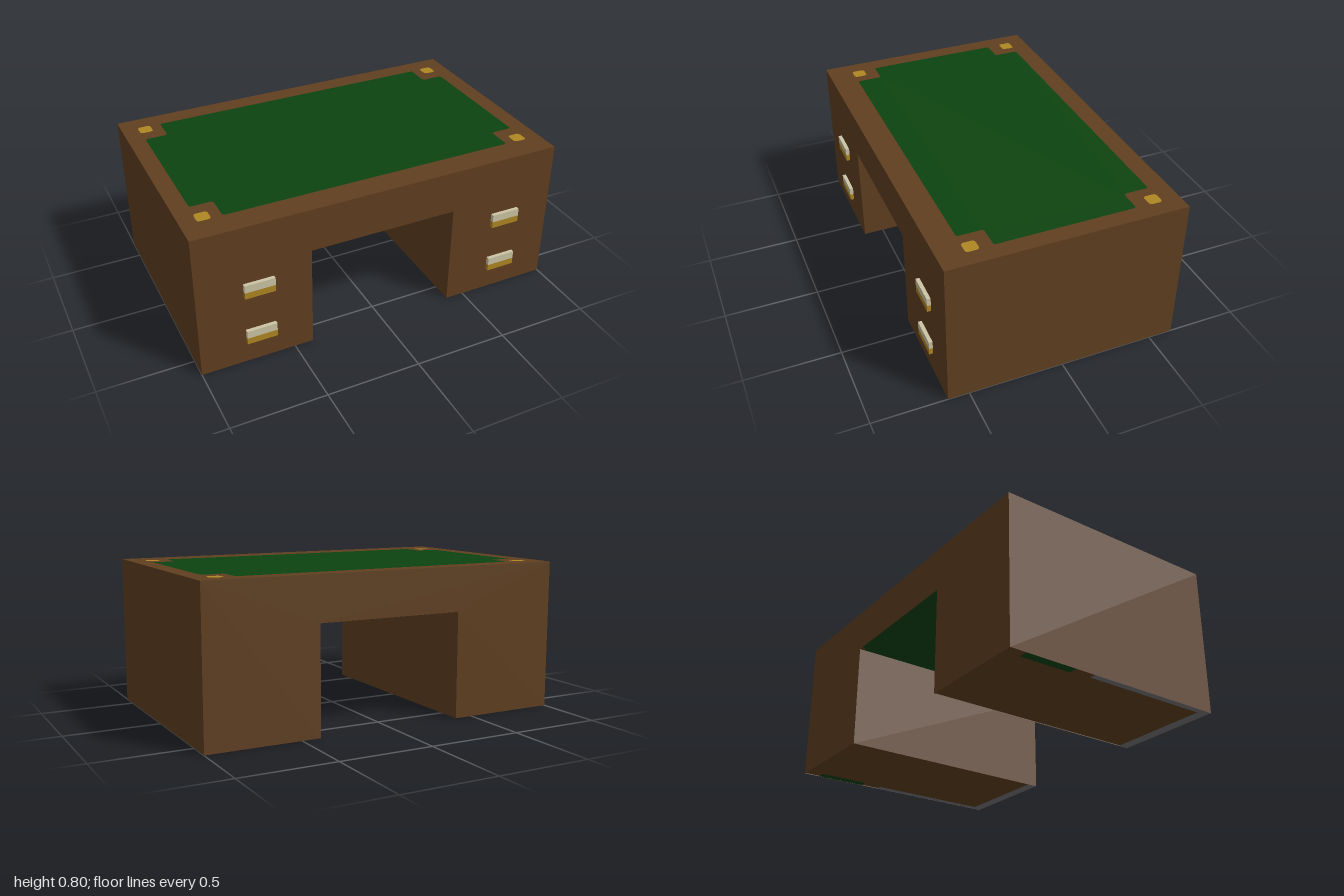
import * as THREE from 'three';

const mat = (name, color) => {
  const m = new THREE.MeshStandardMaterial({ color, side: THREE.DoubleSide });
  m.name = name;
  return m;
};

// Closed outline with small rounded corners
function roundedOutline(points, r, Type = THREE.Shape) {
  const path = new Type();
  const pts = points.map(([x, y]) => new THREE.Vector2(x, y));
  pts.forEach((p, i) => {
    const prev = pts[(i + pts.length - 1) % pts.length];
    const next = pts[(i + 1) % pts.length];
    const a = p.clone().add(prev.clone().sub(p).setLength(r));
    const b = p.clone().add(next.clone().sub(p).setLength(r));
    if (i === 0) path.moveTo(a.x, a.y);
    else path.lineTo(a.x, a.y);
    path.quadraticCurveTo(p.x, p.y, b.x, b.y);
  });
  path.closePath();
  return path;
}

const rect = (x0, y0, x1, y1) => [[x0, y0], [x1, y0], [x1, y1], [x0, y1]];
const polygon = (pts) => new THREE.Shape(pts.map(([x, y]) => new THREE.Vector2(x, y)));

export function createModel() {
  const group = new THREE.Group();
  group.name = 'desk';
  const wood = mat('wood', 0x603f20);
  const felt = mat('greenFelt', 0x0d4310);
  const gold = mat('gold', 0xae8722);
  const cream = mat('cream', 0xccc4a4);
  const grey = mat('grey', 0x76767a);

  const add = (name, geometry, material, x = 0, y = 0, z = 0) => {
    const m = new THREE.Mesh(geometry, material);
    m.name = name;
    m.position.set(x, y, z);
    group.add(m);
    return m;
  };

  const W = 1, H = 0.8, FRONT = 0.61, BACK = -0.63;
  const KNEE = 0.4, KNEE_H = 0.565;
  const depth = FRONT - BACK, midZ = (FRONT + BACK) / 2;

  // Front and back panels with the knee opening
  const panel = polygon([[-W, 0], [-KNEE, 0], [-KNEE, KNEE_H], [KNEE, KNEE_H],
    [KNEE, 0], [W, 0], [W, H], [-W, H]]);
  add('frontPanel', new THREE.ShapeGeometry(panel), wood, 0, 0, FRONT);
  add('backPanel', new THREE.ShapeGeometry(panel).rotateY(Math.PI), wood, 0, 0, BACK);

  // Table top with felt and corner studs set flush (shape y is -z)
  const cz = 0.0275;
  const feltPts = [
    [-0.79, cz - 0.5], [0.79, cz - 0.5], [0.79, cz - 0.365], [0.91, cz - 0.365],
    [0.91, cz + 0.365], [0.79, cz + 0.365], [0.79, cz + 0.5], [-0.79, cz + 0.5],
    [-0.79, cz + 0.365], [-0.91, cz + 0.365], [-0.91, cz - 0.365], [-0.79, cz - 0.365],
  ];
  const top = polygon(rect(-W, -FRONT, W, -BACK));
  top.holes.push(roundedOutline(feltPts, 0.015, THREE.Path));
  const flat = (shape) => new THREE.ShapeGeometry(shape, 4).rotateX(-Math.PI / 2);
  add('feltInlay', flat(roundedOutline(feltPts, 0.015)), felt, 0, H, 0);
  for (const x of [-0.88, 0.88]) {
    for (const v of [0.5, -0.44]) {
      const pts = rect(x - 0.035, v - 0.035, x + 0.035, v + 0.035);
      top.holes.push(roundedOutline(pts, 0.018, THREE.Path));
      add('cornerStud', flat(roundedOutline(pts, 0.018)), gold, 0, H, 0);
    }
  }
  add('tableTop', flat(top), wood, 0, H, 0);

  // Horizontal plate facing down
  const under = (name, material, x0, x1, z0, z1, y) =>
    add(name, new THREE.PlaneGeometry(Math.abs(x1 - x0), z1 - z0).rotateX(Math.PI / 2),
      material, (x0 + x1) / 2, y, (z0 + z1) / 2);

  for (const s of [-1, 1]) {
    // Outer side, knee side and underside of each pedestal
    add('sidePanel', new THREE.PlaneGeometry(depth, H).rotateY(s * Math.PI / 2),
      wood, s * W, H / 2, midZ);
    add('kneePanel', new THREE.PlaneGeometry(depth, KNEE_H).rotateY(-s * Math.PI / 2),
      wood, s * KNEE, KNEE_H / 2, midZ);
    under('pedestalBase', wood, s * KNEE, s * W, BACK, FRONT, 0.004);
    // Thin coloured strips along the underside
    under('frontFootStrip', grey, s * KNEE, s * W, FRONT - 0.06, FRONT, 0.001);
    under('sideFootStrip', grey, s * 0.965, s * W, -0.15, FRONT - 0.06, 0.001);
    under('sideFeltStrip', felt, s * 0.95, s * W, -0.54, -0.26, 0.001);
  }

  // Drawer handles: pale upper half, gold lower half
  for (const x of [-0.68, 0.72]) {
    for (const y of [0.16, 0.44]) {
      add('handleUpper', new THREE.BoxGeometry(0.16, 0.042, 0.02), cream, x, y + 0.02, FRONT + 0.01);
      add('handleLower', new THREE.BoxGeometry(0.16, 0.036, 0.02), gold, x, y - 0.019, FRONT + 0.01);
    }
  }
  return group;
}
